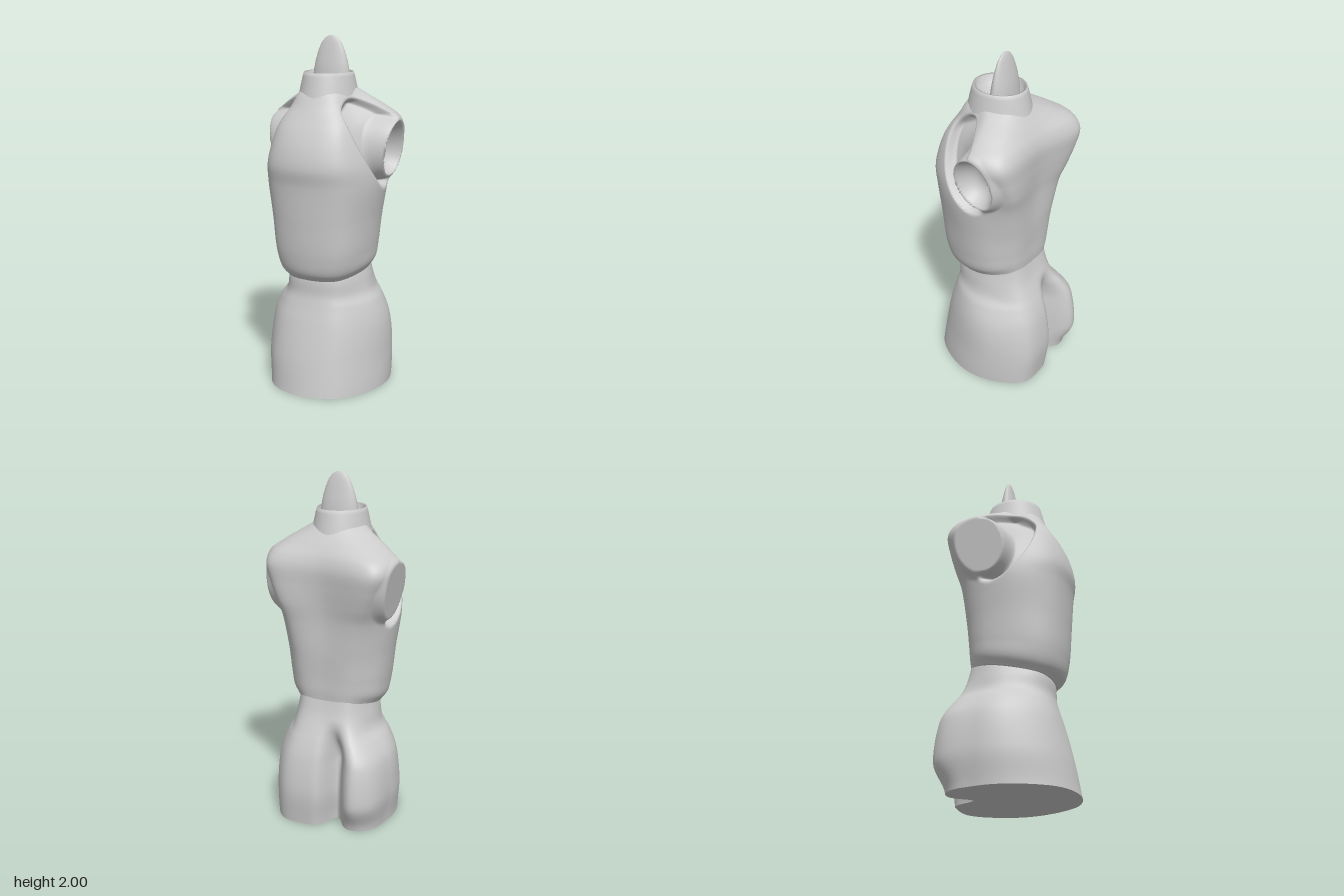
import * as THREE from 'three';

const { smoothstep: smooth, lerp } = THREE.MathUtils;

// Each ring: y, front z, [front corner x,z], [side front x,z], [side back x,z], [back corner x,z], back z
const SKIRT = [
  [0.00, 0.37, 0.205, 0.305, 0.335, 0.08, 0.338, -0.12, 0.22, -0.325, -0.34],
  [0.20, 0.335, 0.205, 0.277, 0.337, 0.07, 0.348, -0.14, 0.22, -0.345, -0.36],
  [0.40, 0.285, 0.19, 0.24, 0.320, 0.05, 0.328, -0.13, 0.205, -0.32, -0.335],
  [0.50, 0.255, 0.17, 0.215, 0.285, 0.04, 0.283, -0.12, 0.18, -0.285, -0.305],
  [0.56, 0.24, 0.155, 0.20, 0.247, 0.03, 0.245, -0.10, 0.165, -0.255, -0.28],
  [0.65, 0.235, 0.15, 0.195, 0.225, 0.03, 0.225, -0.09, 0.15, -0.22, -0.24],
  [0.78, 0.20, 0.12, 0.17, 0.190, 0.03, 0.200, -0.08, 0.14, -0.19, -0.205],
];
const TORSO = [
  [0.65, 0.245, 0.15, 0.21, 0.230, 0.05, 0.225, -0.09, 0.14, -0.20, -0.217],
  [0.70, 0.290, 0.175, 0.238, 0.262, 0.06, 0.250, -0.10, 0.15, -0.205, -0.222],
  [0.80, 0.315, 0.195, 0.258, 0.278, 0.07, 0.265, -0.10, 0.16, -0.21, -0.225],
  [1.00, 0.332, 0.205, 0.275, 0.300, 0.08, 0.285, -0.10, 0.18, -0.22, -0.235],
  [1.20, 0.345, 0.215, 0.292, 0.327, 0.10, 0.318, -0.10, 0.22, -0.24, -0.24],
  [1.30, 0.360, 0.215, 0.303, 0.327, 0.10, 0.338, -0.10, 0.26, -0.26, -0.25],
  [1.40, 0.342, 0.20, 0.29, 0.310, 0.10, 0.368, -0.09, 0.30, -0.27, -0.26],
  [1.50, 0.300, 0.18, 0.26, 0.275, 0.10, 0.390, -0.09, 0.33, -0.27, -0.265],
  [1.56, 0.265, 0.16, 0.23, 0.250, 0.08, 0.375, -0.09, 0.31, -0.245, -0.25],
  [1.62, 0.230, 0.13, 0.195, 0.210, 0.06, 0.300, -0.07, 0.24, -0.185, -0.215],
  [1.68, 0.195, 0.11, 0.165, 0.165, 0.04, 0.205, -0.05, 0.14, -0.14, -0.17],
  [1.72, 0.170, 0.09, 0.13, 0.140, 0.03, 0.140, -0.03, 0.09, -0.11, -0.14],
];

// Smooth skin through mirrored rings, reshaped by a rule, closed underneath
function loft(rings, around, up, rule) {
  const columns = [];
  for (let k = 0; k < 10; k++) {
    const m = k <= 5 ? k : 10 - k, side = k <= 5 ? 1 : -1;
    columns.push(new THREE.CatmullRomCurve3(rings.map((r) => {
      if (m === 0) return new THREE.Vector3(0, r[0], r[1]);
      if (m === 5) return new THREE.Vector3(0, r[0], r[10]);
      return new THREE.Vector3(side * r[m * 2], r[0], r[m * 2 + 1]);
    })));
  }
  const pos = [], index = [];
  for (let i = 0; i <= up; i++) {
    const ring = new THREE.CatmullRomCurve3(columns.map((c) => c.getPoint(i / up)), true);
    for (let j = 0; j < around; j++) {
      const p = ring.getPoint(j / around);
      rule(p);
      pos.push(p.x, p.y, p.z);
      if (i === up) continue;
      const a = i * around + j, b = i * around + (j + 1) % around;
      index.push(a, b, b + around, a, b + around, a + around);
    }
  }
  // bottom cap with its own corners, so the edge stays sharp
  const start = pos.length / 3;
  let cy = 0;
  for (let j = 0; j < around; j++) {
    pos.push(pos[j * 3], pos[j * 3 + 1], pos[j * 3 + 2]);
    cy += pos[j * 3 + 1] / around;
    index.push(start + around, start + (j + 1) % around, start + j);
  }
  pos.push(0, cy, 0.03);
  const g = new THREE.BufferGeometry();
  g.setAttribute('position', new THREE.Float32BufferAttribute(pos, 3));
  g.setIndex(index);
  g.computeVertexNormals();
  return g;
}

// Off-centre cleft down the back, one side fuller and tucked in below, hips swayed a little
function shapeHips(p) {
  const { x, y, z } = p;
  const low = 1 - smooth(y, 0.38, 0.64);
  p.x -= 0.012 * smooth(y, 0, 0.2) * (1 - smooth(y, 0.4, 0.6));
  if (z > 0) return;
  const cleft = Math.exp(-(((x + 0.075) / 0.05) ** 2));
  const lump = smooth(-x, 0.08, 0.18) * smooth(-z, 0.1, 0.3);
  p.z += 0.15 * cleft * low * smooth(-z, 0, 0.2);
  p.x -= 0.035 * lump * low;
  p.z += lump * (0.05 * (1 - smooth(y, 0, 0.17)) - 0.015 * low);
}

// Slanted hem, slightly turned shoulders, armhole pockets and arm stubs
function shapeTorso(p) {
  const { x, y, z } = p;
  p.y += 0.18 * (0.25 - z) * (1 - smooth(y, 0.65, 1.1));
  if (z < 0) p.z += 0.07 * x * smooth(y, 1.2, 1.5) * (1 - smooth(y, 1.55, 1.7)) * smooth(-z, 0, 0.2);
  if (Math.abs(x) < 0.14) return;
  const socket = Math.hypot((z + 0.085) / 0.13, (y - 1.385) / 0.155);
  // the armhole leans forward at the top
  const dz = z - 0.025, dy = y - 1.425;
  const pocket = Math.hypot((dz * 0.93 - dy * 0.37) / 0.155, (dz * 0.37 + dy * 0.93) / 0.275);
  const skin = Math.abs(x) - 0.075 * (1 - smooth(pocket, 0.82, 1)) * smooth(Math.abs(x), 0.14, 0.21);
  // slanted stub end: hollow on one arm, flat on the other
  let end = 0.365 + 0.17 * (y - 1.385);
  if (x > 0) end -= 0.11 * Math.max(0, 1 - socket ** 3);
  p.x = Math.sign(x) * lerp(end, skin, smooth(socket, 1, 1.28));
}

const lathe = (pts, segments) =>
  new THREE.LatheGeometry(pts.map(([r, y]) => new THREE.Vector2(r, y)), segments);

export function createModel() {
  const group = new THREE.Group();
  const material = new THREE.MeshStandardMaterial({ color: 0xcccccc, side: THREE.DoubleSide });
  const add = (name, geometry) => {
    const mesh = new THREE.Mesh(geometry, material);
    mesh.name = name;
    group.add(mesh);
    return mesh;
  };

  add('hips', loft(SKIRT, 140, 50, shapeHips));
  add('torso', loft(TORSO, 240, 160, shapeTorso));

  // Hollow collar with a dished floor
  const collar = add('collar', lathe([
    [0.165, 1.67], [0.154, 1.72], [0.141, 1.78], [0.134, 1.803], [0.122, 1.80],
    [0.115, 1.75], [0.07, 1.715], [0, 1.70],
  ], 32));
  collar.scale.z = 1.14;
  collar.position.z = 0.013;

  // Flat, rounded neck peg, thinning toward the tip
  const pegGeometry = lathe([
    [0.118, 1.70], [0.11, 1.80], [0.098, 1.86], [0.083, 1.91], [0.064, 1.955],
    [0.04, 1.985], [0.018, 1.997], [0, 2.0],
  ], 32);
  const pos = pegGeometry.attributes.position;
  for (let i = 0; i < pos.count; i++) {
    pos.setZ(i, pos.getZ(i) * (0.46 - 0.9 * Math.max(0, pos.getY(i) - 1.8)) - 0.02);
  }
  pegGeometry.computeVertexNormals();
  add('neckPeg', pegGeometry);

  return group;
}
